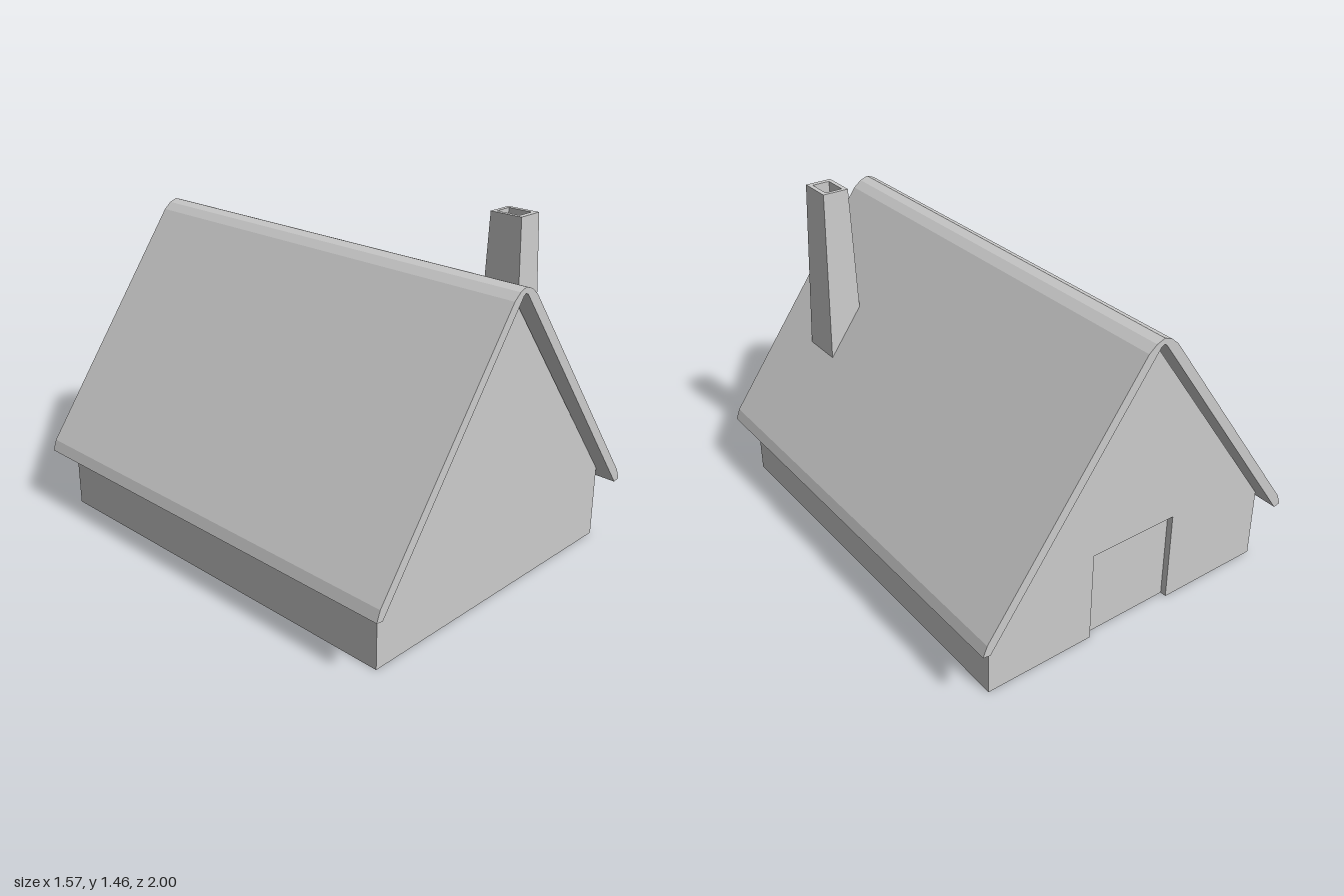
import * as THREE from 'three';

const material = new THREE.MeshStandardMaterial({ color: 0xcccccc, flatShading: true, side: THREE.DoubleSide });

function part(name, geometry, parent) {
  const mesh = new THREE.Mesh(geometry, material);
  mesh.name = name;
  parent.add(mesh);
  return mesh;
}

const shapeOf = (pts) => new THREE.Shape(pts.map(([x, y]) => new THREE.Vector2(x, y)));

// Flat-shaded geometry from a list of quads, each with four corners
function quads(list) {
  const pos = [];
  for (const [a, b, c, d] of list) pos.push(...a, ...b, ...c, ...a, ...c, ...d);
  const g = new THREE.BufferGeometry();
  g.setAttribute('position', new THREE.Float32BufferAttribute(pos, 3));
  g.computeVertexNormals();
  return g;
}

// Open strip swept along z from a line in the xy plane
function ribbon(pts, z0, z1) {
  return quads(pts.slice(1).map(([x, y], i) => {
    const [px, py] = pts[i];
    return [[px, py, z0], [x, y, z0], [x, y, z1], [px, py, z1]];
  }));
}

// Four corners of a level rectangle, counter-clockwise from above
const ring = (x0, x1, z0, z1, yLeft, yRight = yLeft) => [
  [x0, yLeft, z1], [x1, yRight, z1], [x1, yRight, z0], [x0, yLeft, z0],
];

export function createModel() {
  const house = new THREE.Group();
  house.name = 'house';
  const W = 0.705, E = 0.32, Z = 0.93, APEX = [-0.01, 1.288];

  // Hollow walls, open underneath
  const walls = new THREE.Group();
  walls.name = 'walls';
  house.add(walls);
  part('leftWall', ribbon([[W, 0], [W, E]], Z, -Z), walls);
  part('rightWall', ribbon([[-W, 0], [-W, E]], -Z, Z), walls);
  const gableTop = [[W, 0], [W, E], APEX, [-W, E], [-W, 0]];
  part('frontGable', new THREE.ShapeGeometry(shapeOf(gableTop)), walls).position.z = Z;

  // Back gable with a shallow recessed doorway
  const door = [[-0.21, 0], [-0.21, 0.41], [0.205, 0.41], [0.205, 0]];
  const recess = 0.028;
  part('backGable', new THREE.ShapeGeometry(shapeOf([...gableTop, ...door])), walls).position.z = -Z;
  part('doorFrame', ribbon(door, -Z, -Z + recess), walls);
  part('door', new THREE.ShapeGeometry(shapeOf(door)), walls).position.z = -Z + recess;

  // Thick roof with rounded ridge and bevelled eaves
  const roofProfile = [
    [-0.785, 0.268], [-0.768, 0.315], [-0.077, 1.274], [-0.044, 1.302], [-0.01, 1.315],
    [0.027, 1.302], [0.062, 1.274], [0.762, 0.315], [0.78, 0.268], [0.748, 0.262],
    [0.003, 1.284], [-0.01, 1.29], [-0.021, 1.284], [-0.754, 0.262],
  ];
  const roof = new THREE.ExtrudeGeometry(shapeOf(roofProfile), { depth: 2, bevelEnabled: false });
  part('roof', roof.translate(0, 0, -1), house);

  // Tapered chimney cut to the roof slope, with a hollow flue
  const rings = [
    ring(0.325, 0.479, 0.55, 0.74, 0.9, 0.69),
    ring(0.335, 0.452, 0.57, 0.72, 1.46),
    ring(0.354, 0.432, 0.588, 0.697, 1.46),
    ring(0.354, 0.432, 0.588, 0.697, 1.3),
  ];
  const faces = [rings[3]];
  for (let r = 0; r < 3; r++) {
    for (let i = 0; i < 4; i++) {
      const j = (i + 1) % 4;
      faces.push([rings[r][i], rings[r][j], rings[r + 1][j], rings[r + 1][i]]);
    }
  }
  part('chimney', quads(faces), house);

  return house;
}
